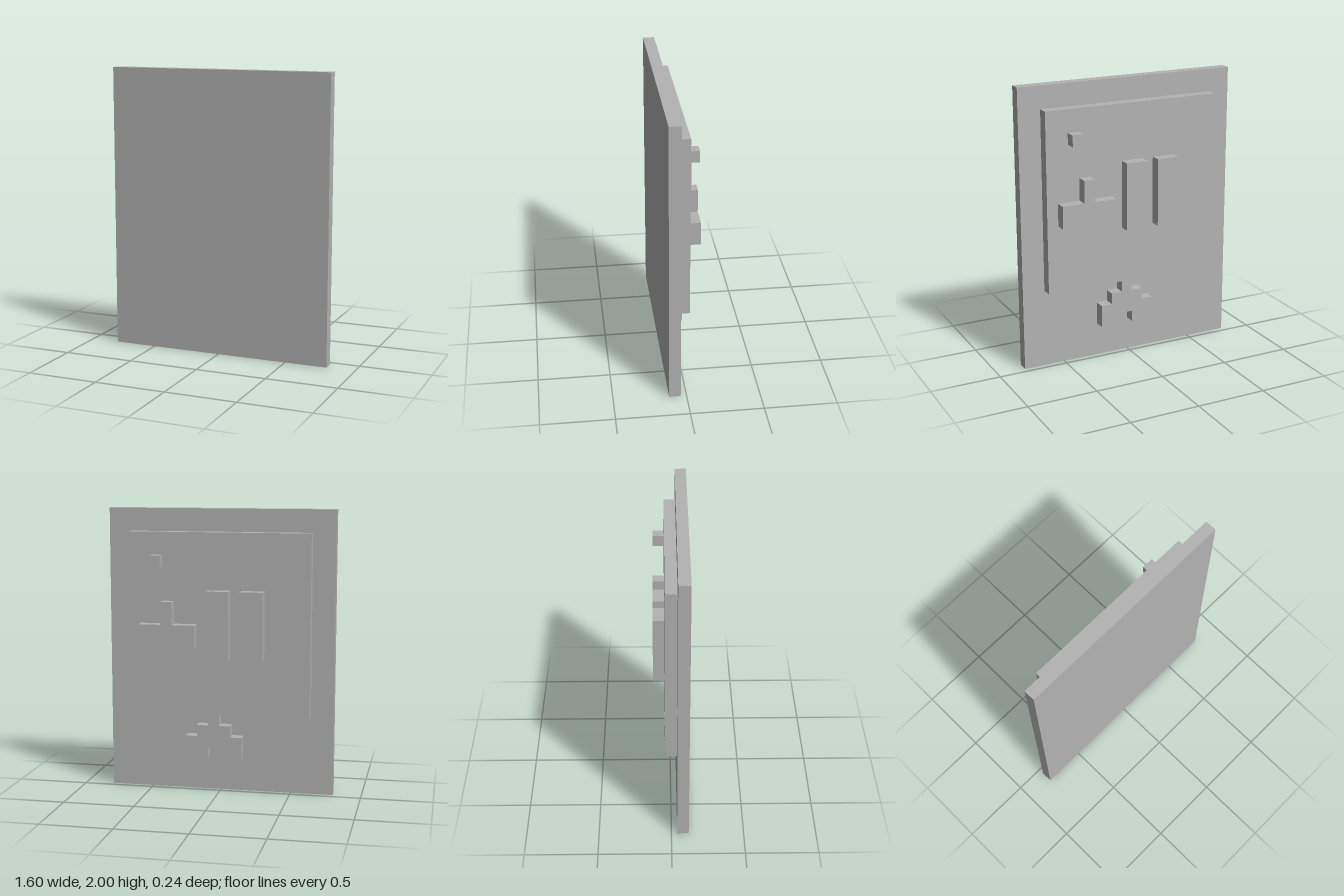
import * as THREE from 'three';

const U = 0.08; // every outline sits on this grid
const grey = new THREE.MeshStandardMaterial({ color: 0xb3b3b3 });
grey.name = 'grey';

// One layer-thick slab from an outline in grid units (x, y), starting at zBack
function slab(name, points, zBack) {
  const shape = new THREE.Shape(points.map(([x, y]) => new THREE.Vector2(x * U, y * U)));
  const geometry = new THREE.ExtrudeGeometry(shape, { depth: U, bevelEnabled: false });
  geometry.translate(0, 0, zBack);
  const mesh = new THREE.Mesh(geometry, grey);
  mesh.name = name;
  return mesh;
}

const rect = (x0, y0, x1, y1) => [[x0, y0], [x1, y0], [x1, y1], [x0, y1]];

export function createModel() {
  const model = new THREE.Group();
  model.name = 'reliefPlaque';

  // Front plate
  model.add(slab('basePlate', rect(-10, 0, 10, 25), 0.04));

  // Raised panel with the stepped pendant joined to its lower edge by a neck
  model.add(slab('raisedPanel', [
    [-8, 7], [0, 7], [0, 6], [-1, 6], [-1, 5], [-2, 5], [-2, 3], [0, 3], [0, 4],
    [1, 4], [1, 3], [3, 3], [3, 5], [2, 5], [2, 6], [1, 6], [1, 7],
    [8, 7], [8, 23], [-8, 23],
  ], -0.04));

  // Raised details on the panel
  model.add(slab('smallCube', rect(5, 20, 6, 21), -0.12));
  model.add(slab('steppedBlock', [
    [2, 13], [7, 13], [7, 15], [5, 15], [5, 17], [4, 17], [4, 15], [2, 15],
  ], -0.12));
  model.add(slab('innerBar', rect(-1, 12, 1, 18), -0.12));
  model.add(slab('outerBar', rect(-4, 12, -2, 18), -0.12));

  return model;
}
